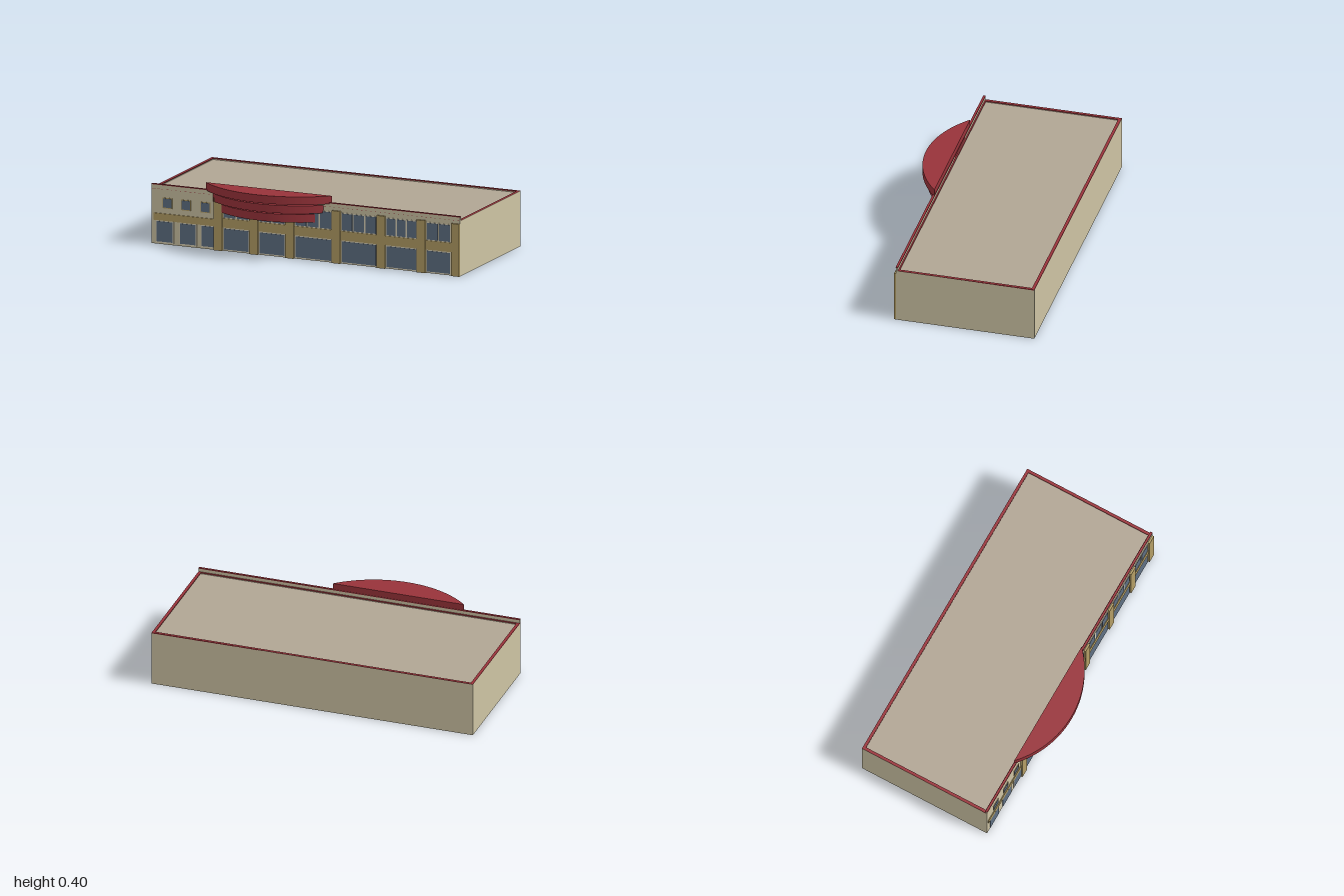
import * as THREE from 'three';
import { toCreasedNormals } from 'three/addons/utils/BufferGeometryUtils.js';

export function createModel() {
  const model = new THREE.Group();
  model.name = 'building';
  const mat = (name, color, side = THREE.FrontSide) => {
    const m = new THREE.MeshStandardMaterial({ color, side });
    m.name = name;
    return m;
  };
  const wall = mat('wall beige', 0xcdc3a3, THREE.DoubleSide);
  const roofGrey = mat('roof grey', 0xb0a593, THREE.DoubleSide);
  const red = mat('dark red', 0x98333a);
  const gold = mat('ochre', 0xb39d65);
  const glass = mat('window blue', 0x5f6f82);
  const trim = mat('window trim', 0xd8d0b6);

  const BACK = -0.495, FRONT = 0.345, H = 0.335, MID = (BACK + FRONT) / 2, DEPTH = FRONT - BACK;

  const add = (name, geo, material, x = 0, y = 0, z = 0, parent = model) => {
    const m = new THREE.Mesh(geo, material);
    m.name = name;
    m.position.set(x, y, z);
    parent.add(m);
    return m;
  };
  // Box given by its limits
  const box = (name, material, x0, x1, y0, y1, z0, z1, parent) =>
    add(name, new THREE.BoxGeometry(x1 - x0, y1 - y0, z1 - z0), material,
      (x0 + x1) / 2, (y0 + y1) / 2, (z0 + z1) / 2, parent);
  // Outline in x and z, extruded down from the given top height
  const slab = (name, shape, top, thickness, material) => {
    const geo = new THREE.ExtrudeGeometry(shape, { depth: thickness, bevelEnabled: false, curveSegments: 40 });
    geo.rotateX(Math.PI / 2);
    return add(name, toCreasedNormals(geo, 0.4), material, 0, top, 0);
  };

  // Thin outer walls, open underneath
  add('frontWall', new THREE.PlaneGeometry(2, H), wall, 0, H / 2, FRONT);
  add('backWall', new THREE.PlaneGeometry(2, H), wall, 0, H / 2, BACK).rotation.y = Math.PI;
  for (const s of [-1, 1])
    add(s > 0 ? 'leftWall' : 'rightWall', new THREE.PlaneGeometry(DEPTH, H), wall, s, H / 2, MID)
      .rotation.y = s * Math.PI / 2;

  // Flat roof, low kerb and red edging
  add('roof', new THREE.PlaneGeometry(2, DEPTH), roofGrey, 0, 0.325, MID).rotation.x = -Math.PI / 2;
  const frame = (w) => {
    const rect = (P, i) => new P([[-1 + i, BACK + i], [1 - i, BACK + i], [1 - i, FRONT - i], [-1 + i, FRONT - i]]
      .map(([x, z]) => new THREE.Vector2(x, z)));
    const shape = rect(THREE.Shape, 0);
    shape.holes.push(rect(THREE.Path, w));
    return shape;
  };
  slab('roofKerb', frame(0.014), 0.331, 0.005, wall);
  slab('roofEdging', frame(0.018), 0.336, 0.005, red);

  // Raised front parapet with red cap
  box('frontParapet', wall, -1, 1, 0.33, 0.356, 0.335, FRONT);
  box('parapetCap', red, -1, 1, 0.356, 0.361, 0.333, 0.347);

  // Tiered curved canopy: radius, top, thickness
  [[0.601, 0.4, 0.048], [0.576, 0.34, 0.047], [0.549, 0.281, 0.049]].forEach(([r, top, t], i) => {
    const segment = (radius) => {
      const a = Math.asin(0.441 / radius);
      return new THREE.Shape().absarc(-0.245, -0.106, radius, a, Math.PI - a, false);
    };
    slab('canopyTier' + (i + 1), segment(r), top, t, red);
    if (i < 2) slab('canopyNeck' + (i + 1), segment(0.526), top - t, 0.014, red);
  });

  // Window with a border plate behind the glass
  const windows = new THREE.Group();
  windows.name = 'windows';
  model.add(windows);
  const win = (name, x0, x1, y0, y1, border, b = 0.006) => {
    if (border) box(name + 'Frame', border, x0 - b, x1 + b, y0 - b, y1 + b, FRONT, FRONT + 0.002, windows);
    box(name + 'Glass', glass, x0, x1, y0, y1, FRONT, FRONT + 0.004, windows);
  };

  // Pilasters and the glazed bays between them
  const pilasters = [-0.565, -0.335, -0.102, 0.2, 0.49, 0.75, 0.972];
  const panes = [2, 2, 3, 3, 3, 2];
  pilasters.forEach((x, i) => {
    box('pilaster', gold, x - 0.027, x + 0.027, 0, 0.317, FRONT - 0.001, 0.357);
    if (i === panes.length) return;
    const x0 = x + 0.036, x1 = pilasters[i + 1] - 0.036;
    win('shop', x0, x1, 0.01, 0.135, trim);
    const w = (x1 - x0 + 0.01) / panes[i];
    for (let k = 0; k < panes[i]; k++)
      win('upper', x0 + k * w, x0 + (k + 1) * w - 0.01, 0.203, 0.303, trim, 0.005);
  });

  // Plain wing with three large and three small windows
  [[-0.965, -0.862], [-0.813, -0.713], [-0.673, -0.592]].forEach(([a, b]) =>
    win('wing', a, b, 0.015, 0.137, trim));
  [-0.897, -0.777, -0.65].forEach((x) =>
    win('small', x - 0.027, x + 0.027, 0.223, 0.277, gold, 0.005));

  // Ochre band across the front
  box('wingBand', gold, -0.985, -0.59, 0.143, 0.186, FRONT, 0.35);
  box('mainBand', gold, -0.565, 0.998, 0.142, 0.198, FRONT, 0.351);

  return model;
}
